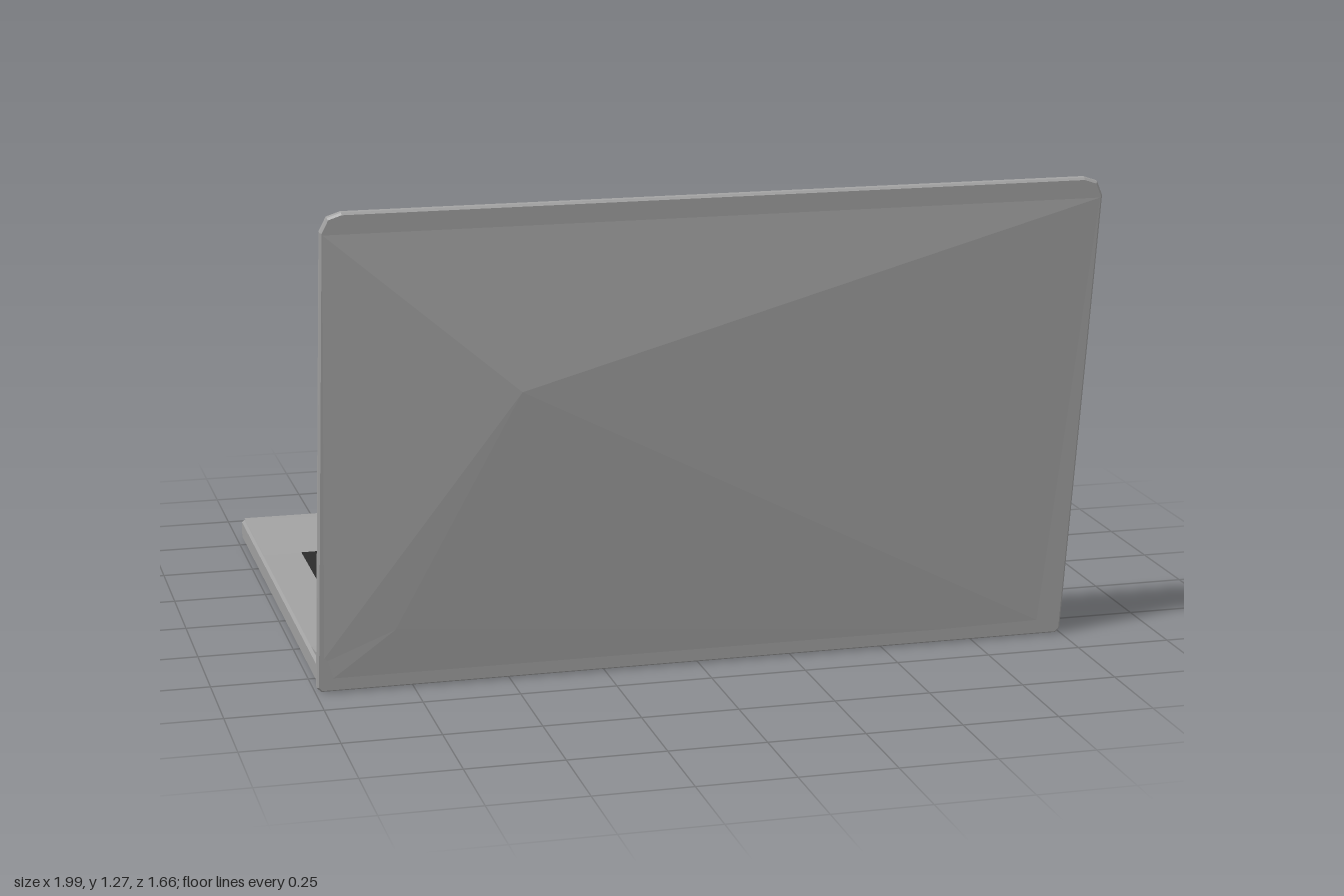
import * as THREE from 'three';

const grey = new THREE.MeshStandardMaterial({ name: 'grey casing', color: 0xa2a2a2, flatShading: true, side: THREE.DoubleSide });
const dark = new THREE.MeshStandardMaterial({ name: 'dark screen and keys', color: 0x2b2b2b, flatShading: true, side: THREE.DoubleSide });

function add(parent, name, geometry, material, x = 0, y = 0, z = 0) {
  const mesh = new THREE.Mesh(geometry, material);
  mesh.name = name;
  mesh.position.set(x, y, z);
  parent.add(mesh);
  return mesh;
}

// Facets from a peak to a counter-clockwise rim
function fan(peak, rim, closed = true) {
  const pos = [];
  const n = closed ? rim.length : rim.length - 1;
  for (let i = 0; i < n; i++) pos.push(...peak, ...rim[i], ...rim[(i + 1) % rim.length]);
  const g = new THREE.BufferGeometry();
  g.setAttribute('position', new THREE.Float32BufferAttribute(pos, 3));
  g.computeVertexNormals();
  return g;
}

// Slab with chamfered edges, kept inside its outline
function slab(points, depth, bevel) {
  const shape = new THREE.Shape(points.map(([x, y]) => new THREE.Vector2(x, y)));
  const g = new THREE.ExtrudeGeometry(shape, {
    depth: depth - 2 * bevel, bevelEnabled: true, bevelSize: bevel,
    bevelThickness: bevel, bevelOffset: -bevel, bevelSegments: 1,
  });
  return g.translate(0, 0, bevel);
}

function createBase() {
  const base = new THREE.Group();
  base.name = 'base';

  // Body with a wide notch for the hinge bar
  const half = [[0.89, -0.472], [0.89, -0.595], [0.985, -0.595], [0.985, 0.81], [0.965, 0.83]];
  const outline = [...half, ...half.map(([x, y]) => [-x, y]).reverse()];
  add(base, 'baseBody', slab(outline, 0.058, 0.007).rotateX(-Math.PI / 2), grey, 0, 0.005, 0);
  add(base, 'hingeBar', new THREE.BoxGeometry(1.77, 0.055, 0.126), grey, 0, 0.0375, 0.55);

  // Rear rails that rise toward the hinge
  const wedge = new THREE.Shape([
    new THREE.Vector2(-0.4, 0.055), new THREE.Vector2(-0.4, 0.062),
    new THREE.Vector2(-0.595, 0.083), new THREE.Vector2(-0.595, 0.055),
  ]);
  for (const s of [-1, 1]) {
    const g = new THREE.ExtrudeGeometry(wedge, { depth: 0.085, bevelEnabled: false });
    g.rotateY(Math.PI / 2);
    add(base, s > 0 ? 'leftHingeRail' : 'rightHingeRail', g, grey, s * 0.935 - 0.0425);
  }

  // Slightly uneven palm rest and keyboard
  add(base, 'palmRest', fan([0.5, 0.079, -0.5], [
    [-0.975, 0.064, -0.43], [0, 0.071, -0.43], [0.5, 0.079, -0.43], [0.87, 0.067, -0.43], [0.975, 0.064, -0.43],
    [0.975, 0.064, -0.822], [0.5, 0.066, -0.822], [0, 0.064, -0.822], [-0.975, 0.064, -0.822],
  ].reverse().map((p) => p)), grey);
  add(base, 'keyboard', fan([0.3, 0.084, -0.2], [
    [-0.87, 0.065, 0.29], [0.87, 0.065, 0.29], [0.87, 0.068, -0.43],
    [0.5, 0.08, -0.43], [0, 0.072, -0.43], [-0.87, 0.065, -0.43],
  ]), dark);
  return base;
}

function createLid() {
  const lid = new THREE.Group();
  lid.name = 'lid';
  lid.position.set(0, 0.01, 0.601);
  lid.rotation.x = 0.165;

  // Shell with clipped corners
  const half = [[0.985, 0], [0.997, 0.012], [0.997, 1.235], [0.98, 1.272], [0.945, 1.284]];
  const outline = [...half, ...half.map(([x, y]) => [-x, y]).reverse()];
  add(lid, 'lidShell', slab(outline, 0.021, 0.005), grey);

  // Outer cover, swollen to a peak
  const q = [-0.8, 0.167, 0.03];
  const right = [0.99, 0.01, 0.019];
  const edge = [-0.99, 0.08, 0.02];
  add(lid, 'lidCover', fan([-0.5, 0.812, 0.067],
    [right, [0.99, 1.23, 0.021], [-0.99, 1.23, 0.021], edge, q]), grey);
  add(lid, 'lidCoverCorner', fan(q, [edge, [-0.99, 0.01, 0.019], right], false), grey);

  // Dark bezel with a raised display panel
  const inset = outline.map(([x, y]) => [x * 0.992, 0.006 + y * 0.991]);
  add(lid, 'bezel', slab(inset, 0.004, 0.001), dark, 0, 0, -0.003);
  add(lid, 'display', new THREE.BoxGeometry(1.78, 1.21, 0.005), dark, 0, 0.65, -0.0035);
  return lid;
}

export function createModel() {
  const model = new THREE.Group();
  model.name = 'laptop';
  model.add(createBase(), createLid());
  return model;
}
